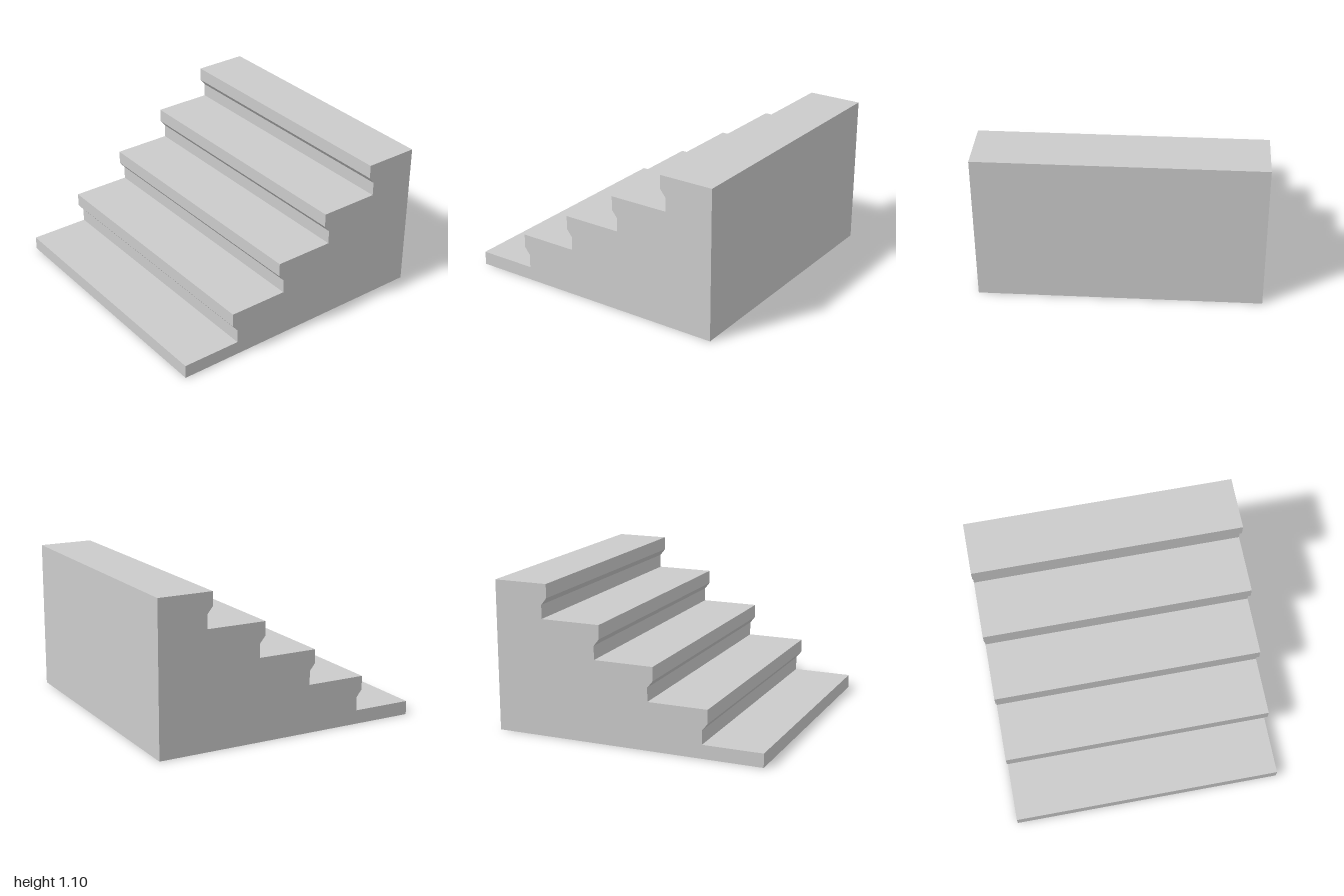
import * as THREE from 'three';

const STEPS = 5, RISE = 0.25, RUN = 0.4, WIDTH = 2;
const NOSING = 0.1, OVERHANG = 0.04, CHAMFER = 0.05;

// Side profile: x is depth (front positive), y is height
function stairProfile() {
  const shape = new THREE.Shape();
  shape.moveTo(-1, 0);
  shape.lineTo(1, 0);
  for (let i = 0; i < STEPS; i++) {
    const front = 1 - RUN * i;
    const top = NOSING + RISE * i;
    if (i > 0) {
      // recessed riser, then the sloped underside of the nosing
      shape.lineTo(front - OVERHANG, top - RISE);
      shape.lineTo(front - OVERHANG, top - NOSING - CHAMFER);
      shape.lineTo(front, top - NOSING);
    }
    shape.lineTo(front, top);
  }
  shape.lineTo(-1, NOSING + RISE * (STEPS - 1));
  shape.closePath();
  return shape;
}

export function createModel() {
  const group = new THREE.Group();
  group.name = 'staircase';

  // Solid flight of steps, extruded across the width
  const geometry = new THREE.ExtrudeGeometry(stairProfile(), { depth: WIDTH, bevelEnabled: false });
  geometry.rotateY(-Math.PI / 2);
  geometry.translate(WIDTH / 2, 0, 0);

  const steps = new THREE.Mesh(
    geometry,
    new THREE.MeshStandardMaterial({ color: 0xcccccc, flatShading: true })
  );
  steps.name = 'steps';
  group.add(steps);
  return group;
}
